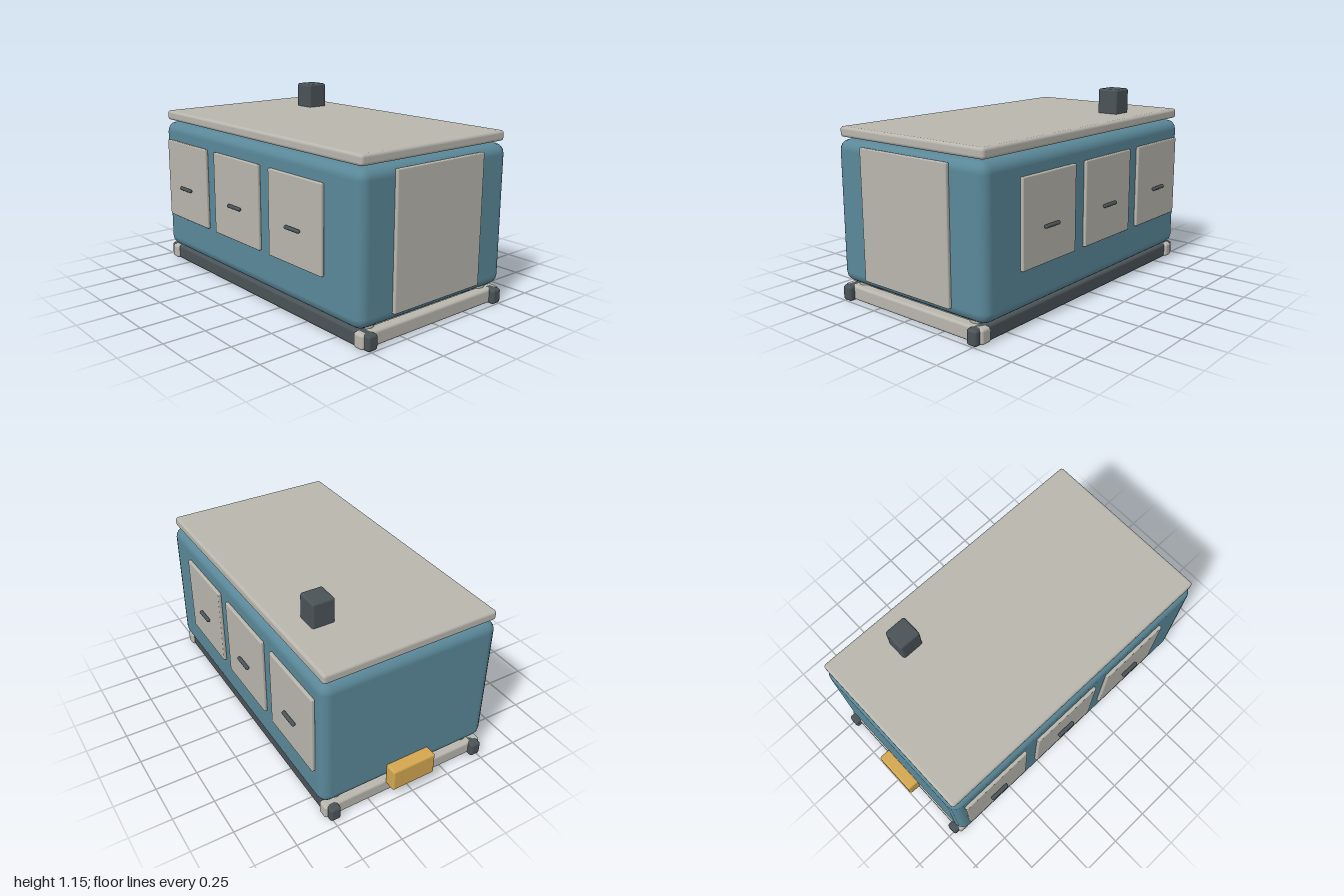
import * as THREE from 'three';
import { RoundedBoxGeometry } from 'three/addons/geometries/RoundedBoxGeometry.js';

const material = (name, color) => {
  const m = new THREE.MeshStandardMaterial({ color });
  m.name = name;
  return m;
};

export function createModel() {
  const group = new THREE.Group();
  const blue = material('blue', 0x5a8899);
  const grey = material('warm grey', 0xb8b6ad);
  const dark = material('dark slate', 0x4a5357);
  const amber = material('amber', 0xd4a751);

  const add = (name, geometry, mat, x, y, z) => {
    const mesh = new THREE.Mesh(geometry, mat);
    mesh.name = name;
    mesh.position.set(x, y, z);
    group.add(mesh);
    return mesh;
  };
  // rounded box given by its extents on each axis
  const box = (name, mat, [x0, x1], [y0, y1], [z0, z1], radius, segments = 2) =>
    add(name, new RoundedBoxGeometry(x1 - x0, y1 - y0, z1 - z0, segments, radius), mat,
      (x0 + x1) / 2, (y0 + y1) / 2, (z0 + z1) / 2);

  // cabin, roof, vent, front door and rear light
  box('body', blue, [-0.553, 0.553], [0.1, 0.93], [-0.925, 0.967], 0.062);
  box('roof', grey, [-0.537, 0.537], [0.94, 1.0], [-0.914, 0.95], 0.018);
  box('vent', dark, [0.255, 0.391], [0.98, 1.15], [-0.56, -0.423], 0.014);
  box('frontDoor', grey, [-0.328, 0.325], [0.15, 0.908], [0.962, 0.987], 0.007);
  box('rearLight', amber, [-0.143, 0.14], [0.07, 0.214], [-1.0, -0.92], 0.014);

  // base frame: cross bars and long rails
  box('frontCrossBar', grey, [-0.535, 0.535], [0.004, 0.09], [0.898, 0.968], 0.016);
  box('rearCrossBar', grey, [-0.535, 0.535], [0.004, 0.09], [-0.93, -0.861], 0.016);
  for (const s of [-1, 1]) {
    box('rail', dark, [s * 0.485 - 0.034, s * 0.485 + 0.034], [0, 0.09], [-0.965, 1.0], 0.017);

    // mounts between frame and body
    for (const z of [0.89, -0.85]) {
      add('mount', new THREE.CylinderGeometry(0.04, 0.04, 0.07, 20), grey, s * 0.435, 0.08, z);
    }

    // side hatches with handles
    for (const z of [0.467, -0.083, -0.629]) {
      box('sideHatch', grey, [s * 0.562 - 0.011, s * 0.562 + 0.011], [0.325, 0.82],
        [z - 0.228, z + 0.228], 0.007);
      const handle = add('handle', new THREE.CapsuleGeometry(0.011, 0.105, 4, 10), dark,
        s * 0.584, 0.531, z);
      handle.rotation.x = Math.PI / 2;
      handle.scale.x = 1.1;
    }
  }
  return group;
}
